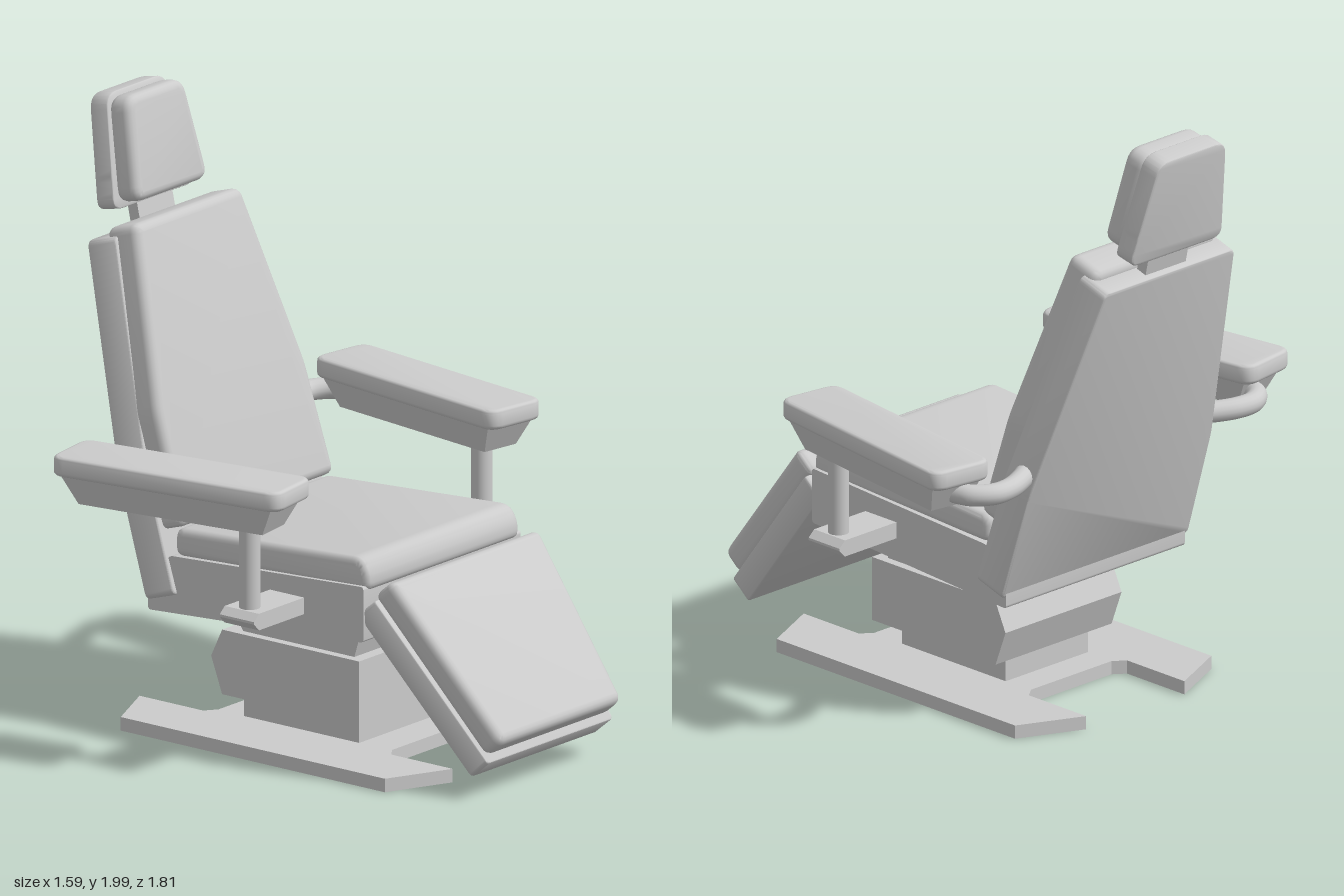
import * as THREE from 'three';
import { toCreasedNormals } from 'three/addons/utils/BufferGeometryUtils.js';

const grey = new THREE.MeshStandardMaterial({ color: 0xcccccc });
const greyDouble = new THREE.MeshStandardMaterial({ color: 0xcccccc, side: THREE.DoubleSide });

function add(parent, name, geometry, x = 0, y = 0, z = 0, material = grey) {
  const mesh = new THREE.Mesh(geometry, material);
  mesh.name = name;
  mesh.position.set(x, y, z);
  parent.add(mesh);
  return mesh;
}

function box(parent, name, w, h, d, x, y, z) {
  return add(parent, name, new THREE.BoxGeometry(w, h, d), x, y, z);
}

// Mirrors a half outline (bottom to top) across x = 0
const mirror = (half) => [...half, ...half.map(([x, y]) => [-x, y]).reverse()];

// Polygon with softened corners
function roundedShape(points, r) {
  const shape = new THREE.Shape();
  const v = points.map(([x, y]) => new THREE.Vector2(x, y));
  const toward = (a, b) => a.clone().add(b.clone().sub(a).setLength(Math.min(r, a.distanceTo(b) * 0.45)));
  v.forEach((p, i) => {
    const start = toward(p, v[(i + v.length - 1) % v.length]);
    const end = toward(p, v[(i + 1) % v.length]);
    if (i === 0) shape.moveTo(start.x, start.y);
    else shape.lineTo(start.x, start.y);
    shape.quadraticCurveTo(p.x, p.y, end.x, end.y);
  });
  shape.closePath();
  return shape;
}

// Slab of the given outline, from z = 0 to z = depth, with rounded rims
function slab(points, depth, corner = 0, bevel = 0) {
  const shape = corner
    ? roundedShape(points, corner)
    : new THREE.Shape(points.map(([x, y]) => new THREE.Vector2(x, y)));
  const geometry = new THREE.ExtrudeGeometry(shape, {
    depth: depth - 2 * bevel, curveSegments: 5, bevelEnabled: bevel > 0,
    bevelThickness: bevel, bevelSize: bevel, bevelOffset: -bevel, bevelSegments: 4,
  });
  geometry.translate(0, 0, bevel);
  return toCreasedNormals(geometry, 0.6);
}

// Side profile given as [z, y], extruded evenly across x
function sideProfile(points, width, corner, bevel) {
  return slab(points, width, corner, bevel).translate(0, 0, -width / 2).rotateY(-Math.PI / 2);
}

// Group leaning back by an angle in degrees
function leaning(parent, name, y, z, degrees) {
  const group = new THREE.Group();
  group.name = name;
  group.position.set(0, y, z);
  group.rotation.x = -THREE.MathUtils.degToRad(degrees);
  parent.add(group);
  return group;
}

// Removes the underside so the base is an open pan
function openBelow(geometry) {
  const p = geometry.attributes.position;
  const kept = [];
  for (let i = 0; i < p.count; i += 3) {
    if (Math.max(p.getY(i), p.getY(i + 1), p.getY(i + 2)) < 1e-4) continue;
    for (let j = i; j < i + 3; j++) kept.push(p.getX(j), p.getY(j), p.getZ(j));
  }
  const open = new THREE.BufferGeometry();
  open.setAttribute('position', new THREE.Float32BufferAttribute(kept, 3));
  open.computeVertexNormals();
  return open;
}

function addArm(parent, s) {
  const arm = new THREE.Group();
  arm.name = s > 0 ? 'leftArmrest' : 'rightArmrest';
  parent.add(arm);

  // Pad with a tapered underbody, toed in towards the front
  const top = new THREE.Group();
  top.name = 'armTop';
  top.position.set(s * 0.627, 0, -0.152);
  top.rotation.y = -s * 0.147;
  arm.add(top);
  const outline = mirror([[0.115, -0.422], [0.115, 0.422]]);
  add(top, 'armPad', slab(outline, 0.067, 0.05, 0.015).rotateX(-Math.PI / 2), 0, 0.933, 0);
  const under = new THREE.BoxGeometry(0.2, 0.1, 0.78);
  const p = under.attributes.position;
  for (let i = 0; i < p.count; i++) {
    if (p.getY(i) < 0) p.setXYZ(i, p.getX(i) * 0.68, p.getY(i), p.getZ(i) * 0.87);
  }
  under.computeVertexNormals();
  add(top, 'armUnderbody', under, 0, 0.89, 0);

  // Front post on a bracket from the seat
  add(arm, 'armPost', new THREE.CylinderGeometry(0.034, 0.034, 0.29, 24), s * 0.59, 0.705, 0.098);
  const bracket = [[0.38, 0.515], [0.63, 0.515], [0.655, 0.54], [0.655, 0.548], [0.63, 0.57], [0.38, 0.57]];
  add(arm, 'armBracket', slab(bracket.map(([x, y]) => [s * x, y]), 0.14), 0, 0, 0.028);

  // Bent tube from the backrest to the pad
  const path = [[0.37, -0.53], [0.43, -0.565], [0.51, -0.595], [0.58, -0.595], [0.64, -0.55], [0.66, -0.47]];
  const curve = new THREE.CatmullRomCurve3(path.map(([x, z]) => new THREE.Vector3(s * x, 0.885, z)));
  add(arm, 'armTube', new THREE.TubeGeometry(curve, 28, 0.035, 16));
}

export function createModel() {
  const chair = new THREE.Group();
  chair.name = 'recliningChair';

  // Floor base: two rails joined by a middle plate
  const side = [[0.18, -0.35], [0.22, -0.38], [0.22, -0.63], [0.44, -0.53],
    [0.44, 0.55], [0.22, 0.65], [0.22, 0.39], [0.18, 0.36]];
  const base = openBelow(slab(mirror(side), 0.045).rotateX(-Math.PI / 2));
  add(chair, 'floorBase', base, 0, 0, 0, greyDouble);

  // Lift column, housing and flared neck
  box(chair, 'liftColumn', 0.37, 0.135, 0.47, 0, 0.0725, -0.015);
  const housing = [[0.28, 0.13], [0.28, 0.345], [-0.28, 0.345], [-0.325, 0.25], [-0.28, 0.13]];
  add(chair, 'liftHousing', sideProfile(housing, 0.52));
  const neck = [[0.235, 0.34], [0.275, 0.47], [-0.29, 0.45], [-0.215, 0.34]];
  add(chair, 'liftNeck', sideProfile(neck, 0.46));

  // Seat
  const frame = [[0.41, 0.465], [0.41, 0.65], [-0.38, 0.605], [-0.47, 0.5], [-0.47, 0.41]];
  add(chair, 'seatFrame', sideProfile(frame, 0.8, 0.012));
  const cushion = [[0.42, 0.63], [0.42, 0.69], [0.385, 0.742], [-0.375, 0.695], [-0.375, 0.6]];
  add(chair, 'seatCushion', sideProfile(cushion, 0.775, 0.035, 0.025));

  // Backrest
  const back = leaning(chair, 'backrest', 0.445, -0.465, 17.4);
  add(back, 'backShell', slab(mirror([[0.42, 0], [0.41, 0.4], [0.29, 1.153]]), 0.12, 0.025, 0.008));
  add(back, 'backCushion',
    slab(mirror([[0.39, 0.21], [0.38, 0.58], [0.27, 1.18]]), 0.135, 0.03, 0.03), 0, 0, 0.068);

  // Headrest on a flat post
  const head = leaning(chair, 'headrest', 1.618, -0.833, 12.4);
  box(head, 'headPost', 0.18, 0.16, 0.04, 0, -0.01, 0.05);
  add(head, 'headShell', slab(mirror([[0.207, 0], [0.195, 0.08], [0.15, 0.37]]), 0.072, 0.05, 0.006));
  add(head, 'headCushion', slab(mirror([[0.188, 0.018], [0.145, 0.357]]), 0.09, 0.05, 0.028), 0, 0, 0.065);

  // Leg rest
  const leg = leaning(chair, 'legRest', 0.07, 0.785, 40);
  add(leg, 'legShell', slab(mirror([[0.32, 0], [0.395, 0.63]]), 0.09, 0.015, 0.006));
  add(leg, 'legCushion', slab(mirror([[0.31, 0.025], [0.38, 0.65]]), 0.1, 0.03, 0.03), 0, 0, 0.08);

  for (const s of [-1, 1]) addArm(chair, s);
  return chair;
}
